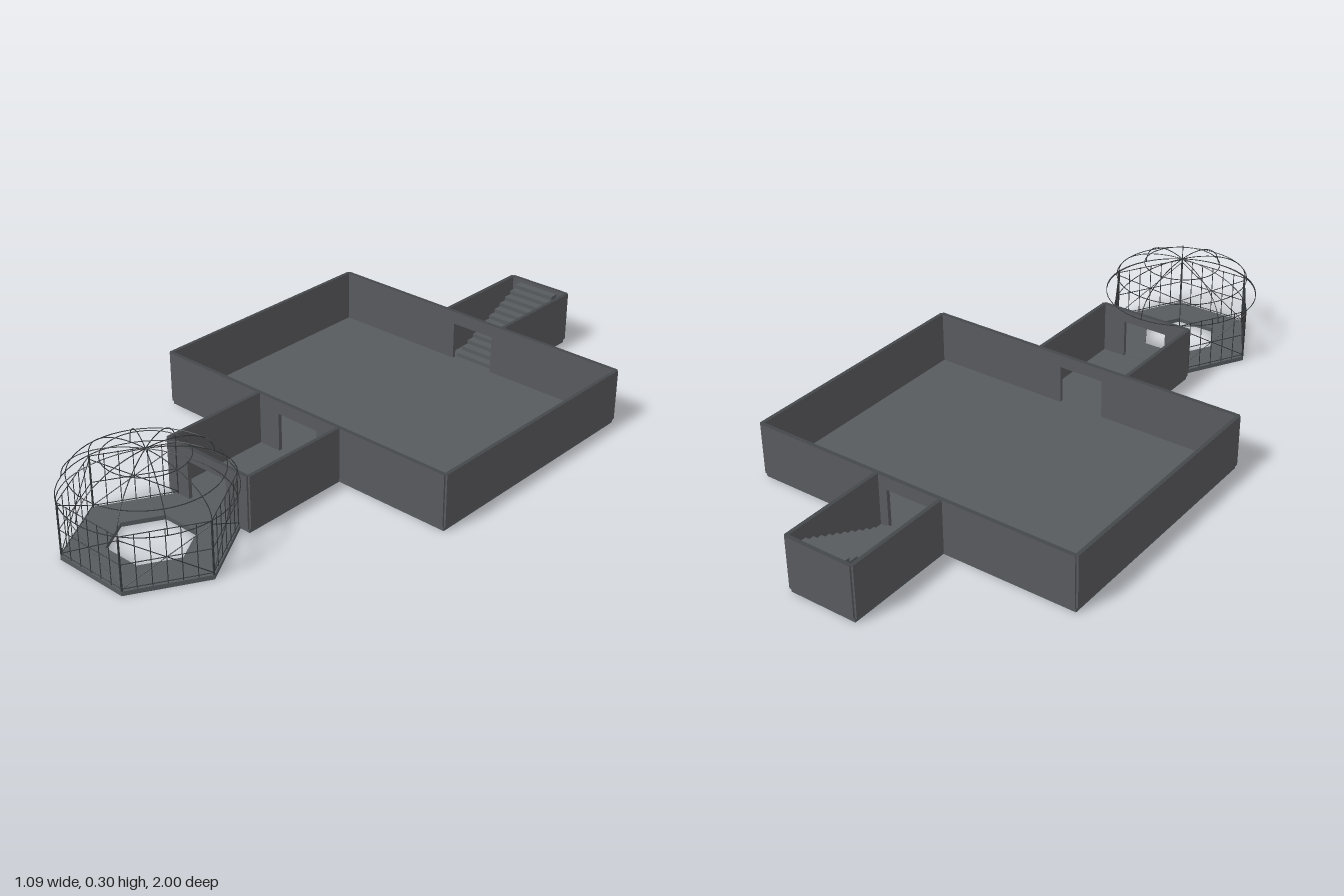
import * as THREE from 'three';

const concrete = new THREE.MeshStandardMaterial({ color: 0x575b5e });
const plaster = new THREE.MeshStandardMaterial({ color: 0x58595d });
const coping = new THREE.MeshStandardMaterial({ color: 0x45484b });
const iron = new THREE.MeshStandardMaterial({ color: 0x333638 });
concrete.name = 'concrete';
plaster.name = 'plaster';
coping.name = 'coping';
iron.name = 'iron';

// Slab top, wall top, underside of the coping, wall thickness
const BASE = 0.014, TOP = 0.18, CAP = 0.1794, T = 0.012;
const HEX_R = 0.245, HEX_Z = 0.755;

function add(parent, name, geometry, material) {
  const mesh = new THREE.Mesh(geometry, material);
  mesh.name = name;
  parent.add(mesh);
  return mesh;
}

// Box given by its minimum and maximum on each axis
function block(parent, name, x0, x1, y0, y1, z0, z1, material = concrete) {
  const g = new THREE.BoxGeometry(x1 - x0, y1 - y0, z1 - z0);
  g.translate((x0 + x1) / 2, (y0 + y1) / 2, (z0 + z1) / 2);
  return add(parent, name, g, material);
}

// Plain wall with a thin coping on top
function wall(parent, name, x0, x1, z0, z1) {
  block(parent, name, x0, x1, BASE, CAP, z0, z1, plaster);
  block(parent, name + 'Coping', x0, x1, CAP, TOP, z0, z1, coping);
}

// Wall across x with a doorway cut from its foot
function doorWall(parent, name, half, z) {
  const d = 0.076, h = 0.138;
  const s = new THREE.Shape([
    [-half, BASE], [-d, BASE], [-d, h], [d, h], [d, BASE], [half, BASE], [half, CAP], [-half, CAP],
  ].map(([x, y]) => new THREE.Vector2(x, y)));
  const g = new THREE.ExtrudeGeometry(s, { depth: T, bevelEnabled: false });
  g.translate(0, 0, z - T / 2);
  add(parent, name, g, plaster);
  block(parent, name + 'Coping', -half, half, CAP, TOP, z - T / 2, z + T / 2, coping);
}

function sideWalls(parent, name, half, z0, z1) {
  for (const s of [-1, 1]) {
    const x = s * (half - T / 2);
    wall(parent, name, x - T / 2, x + T / 2, z0, z1);
  }
}

// Straight round bar between two points
function bar(parent, name, a, b, r) {
  const dir = b.clone().sub(a);
  const mesh = add(parent, name, new THREE.CylinderGeometry(r, r, dir.length(), 6), iron);
  mesh.position.copy(a).add(b).multiplyScalar(0.5);
  mesh.quaternion.setFromUnitVectors(new THREE.Vector3(0, 1, 0), dir.normalize());
}

function hexPoint(k, r, y = 0) {
  const a = k * Math.PI / 3;
  return new THREE.Vector3(r * Math.cos(a), y, r * Math.sin(a));
}

function hexOutline(r) {
  return [0, 1, 2, 3, 4, 5].map(k => {
    const p = hexPoint(k, r);
    return new THREE.Vector2(p.x, p.z);
  });
}

function createPavilion() {
  const g = new THREE.Group();
  g.name = 'pavilion';
  g.position.z = HEX_Z;

  // Ring-shaped floor
  const shape = new THREE.Shape(hexOutline(HEX_R));
  shape.holes.push(new THREE.Path(hexOutline(0.125)));
  const floor = new THREE.ExtrudeGeometry(shape, { depth: BASE, bevelEnabled: false });
  floor.rotateX(Math.PI / 2).translate(0, BASE, 0);
  add(g, 'pavilionFloor', floor, concrete);

  // Lattice on every side but the one facing the passage
  const R = HEX_R - 0.003, low = 0.02, high = 0.168, thin = 0.0013;
  for (let k = 0; k < 6; k++) {
    bar(g, 'cornerPost', hexPoint(k, R, BASE), hexPoint(k, R, TOP), 0.003);
    if (k === 4) continue;
    const at = (t, y) => hexPoint(k, R, y).lerp(hexPoint(k + 1, R, y), t);
    for (const y of [low, (low + high) / 2, 0.178]) bar(g, 'rail', at(0, y), at(1, y), thin);
    for (let i = 1; i < 6; i++) bar(g, 'upright', at(i / 6, BASE), at(i / 6, TOP), thin);
    bar(g, 'brace', at(0, low), at(1, high), thin);
    bar(g, 'brace', at(0, high), at(1, low), thin);
  }

  // Dome of bent ribs and level hoops
  const rise = 0.117, wire = 0.0014, rim = HEX_R - wire;
  for (let k = 0; k < 12; k++) {
    const a = k * Math.PI / 6, pts = [];
    for (let i = 0; i <= 10; i++) {
      const e = i / 10 * Math.PI / 2, r = rim * Math.cos(e);
      pts.push(new THREE.Vector3(r * Math.cos(a), TOP + rise * Math.sin(e), r * Math.sin(a)));
    }
    add(g, 'domeRib', new THREE.TubeGeometry(new THREE.CatmullRomCurve3(pts), 18, wire, 5), iron);
  }
  for (const e of [0, Math.PI / 6, Math.PI / 3]) {
    const hoop = new THREE.TorusGeometry(rim * Math.cos(e), wire, 5, 48);
    hoop.rotateX(Math.PI / 2).translate(0, TOP + rise * Math.sin(e), 0);
    add(g, 'domeHoop', hoop, iron);
  }
  return g;
}

export function createModel() {
  const model = new THREE.Group();
  model.name = 'openBuilding';

  // Main hall, its walls centred on the slab edges so the corners are notched
  const hall = new THREE.Group();
  hall.name = 'hall';
  block(hall, 'hallFloor', -0.541, 0.541, 0, BASE, -0.638, 0.18);
  sideWalls(hall, 'hallSideWall', 0.547, -0.638, 0.18);
  doorWall(hall, 'hallFrontWall', 0.541, 0.18);
  doorWall(hall, 'hallBackWall', 0.541, -0.638);

  // Passage to the pavilion
  const passage = new THREE.Group();
  passage.name = 'passage';
  block(passage, 'passageFloor', -0.157, 0.157, 0, BASE, 0.18, 0.541);
  sideWalls(passage, 'passageSideWall', 0.163, 0.186, 0.541);
  doorWall(passage, 'passageFrontWall', 0.157, 0.541);

  // Stairwell with steps rising towards the back
  const stairwell = new THREE.Group();
  stairwell.name = 'stairwell';
  block(stairwell, 'stairwellFloor', -0.11, 0.11, 0, BASE, -0.994, -0.638);
  sideWalls(stairwell, 'stairwellSideWall', 0.116, -0.994, -0.644);
  wall(stairwell, 'stairwellBackWall', -0.11, 0.11, -1, -1 + T);
  const steps = 12, front = -0.65, back = -1 + T;
  for (let i = 0; i < steps; i++) {
    const z1 = front + (back - front) * i / steps;
    const z0 = front + (back - front) * (i + 1) / steps;
    block(stairwell, 'step', -0.074, 0.074, BASE, BASE + (i + 1) * 0.0128, z0, z1);
  }

  model.add(hall, passage, stairwell, createPavilion());
  return model;
}
